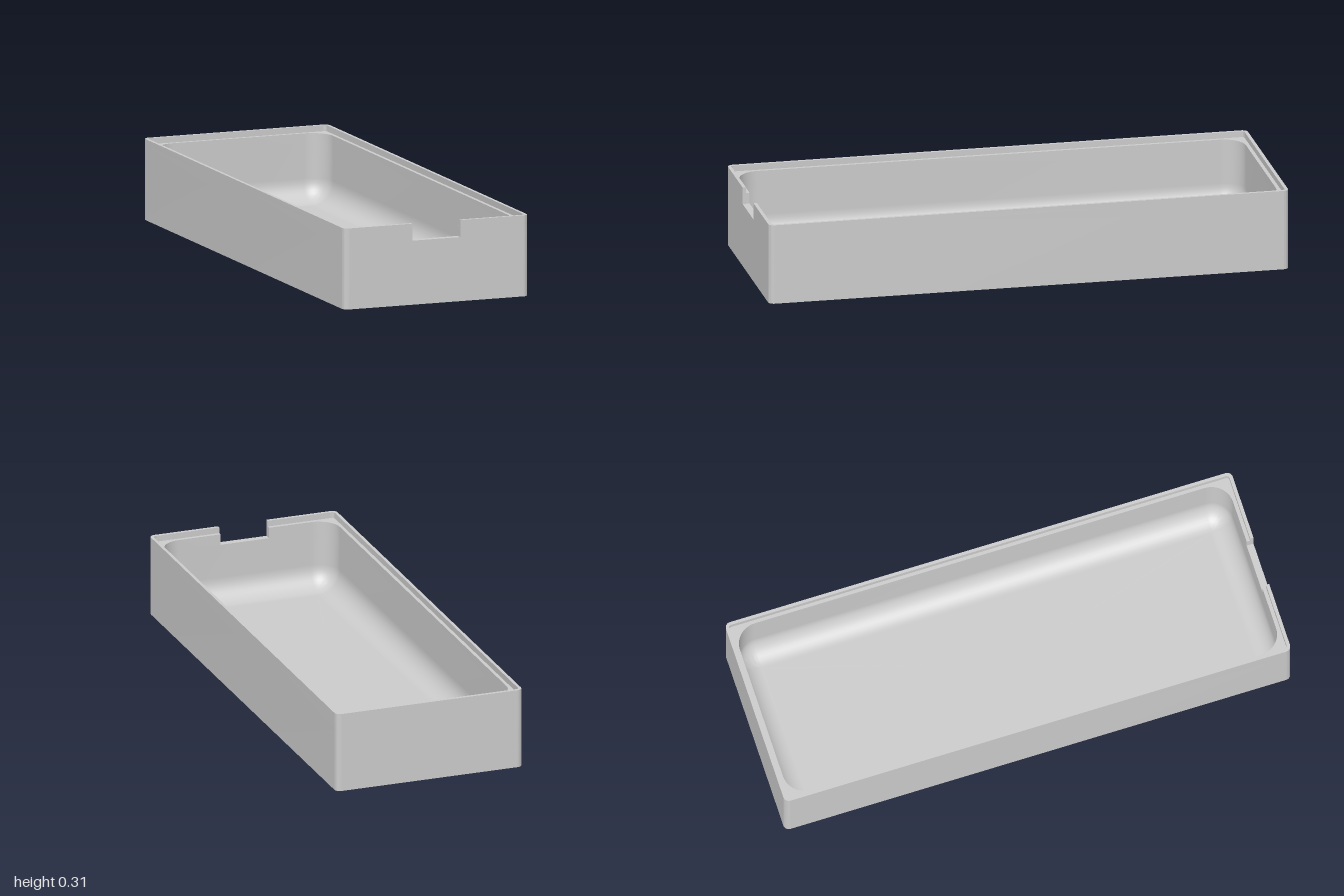
import * as THREE from 'three';
import { toCreasedNormals } from 'three/addons/utils/BufferGeometryUtils.js';

const TOP = 0.31, LEDGE = 0.287, NOTCH_Y = 0.245, NOTCH_X = 0.097, FLOOR = 0.025;
const FILLET = 0.085, STEPS = 10, GUARD = 0.004, CREASE = 0.5;
// Plan outlines: half width, half depth, corner radius
const OUTER = [0.375, 1, 0.022];
const RIM = [0.363, 0.987, 0.012];
const CAVITY = [0.35, 0.973, FILLET];

// Rounded rectangle as [x, z] points, from the front centre towards +x.
// Guard points beside each arc keep the straight sides flat-shaded.
function outline([hw, hd, r], g = GUARD) {
  const pts = [];
  for (let k = 0; k < 4; k++) {
    const cx = (k < 2 ? 1 : -1) * (hw - r), cz = (k === 0 || k === 3 ? 1 : -1) * (hd - r);
    for (let i = -1; i <= STEPS + 1; i++) {
      const a = (k + Math.min(Math.max(i, 0), STEPS) / STEPS) * Math.PI / 2;
      const s = i < 0 ? -g : i > STEPS ? g : 0;
      pts.push([cx + r * Math.sin(a) + s * Math.cos(a), cz + r * Math.cos(a) - s * Math.sin(a)]);
    }
  }
  return pts;
}

// Skin through a list of [outline points, y] rings
function loft(rings) {
  const n = rings[0][0].length, pos = [], index = [];
  rings.forEach(([pts, y], j) => pts.forEach(([x, z], i) => {
    pos.push(x, y, z);
    if (j === rings.length - 1) return;
    const a = j * n + i, b = j * n + (i + 1) % n;
    index.push(a, b, b + n, a, b + n, a + n);
  }));
  const geo = new THREE.BufferGeometry();
  geo.setAttribute('position', new THREE.Float32BufferAttribute(pos, 3));
  geo.setIndex(index);
  return toCreasedNormals(geo, CREASE);
}

// Wall band between two outlines, open at the front for the notch
function notchedWall(outer, inner, y0, y1) {
  const loop = [
    [NOTCH_X, outer[1]], ...outline(outer), [-NOTCH_X, outer[1]],
    [-NOTCH_X, inner[1]], ...outline(inner).reverse(), [NOTCH_X, inner[1]],
  ];
  const shape = new THREE.Shape(loop.map(([x, z]) => new THREE.Vector2(x, -z)));
  const geo = new THREE.ExtrudeGeometry(shape, { depth: y1 - y0, bevelEnabled: false });
  geo.rotateX(-Math.PI / 2).translate(0, y0, 0);
  return toCreasedNormals(geo, CREASE);
}

export function createModel() {
  const group = new THREE.Group();
  group.name = 'tray';
  const grey = new THREE.MeshStandardMaterial({ color: 0xcccccc });
  grey.name = 'grey';
  const add = (name, geo) => {
    const mesh = new THREE.Mesh(geo, grey);
    mesh.name = name;
    group.add(mesh);
  };

  // Lower tray: base, outer sides, notch sill, cavity with rounded floor edge
  const centre = outline([0, 0, 0], 0);
  const rings = [
    [centre, 0], [outline(OUTER), 0], [outline(OUTER), NOTCH_Y],
    [outline(CAVITY), NOTCH_Y], [outline(CAVITY), FLOOR + FILLET + GUARD],
  ];
  for (let i = 0; i <= STEPS; i++) {
    const t = i / STEPS * Math.PI / 2;
    const r = i === STEPS ? 0 : FILLET * Math.cos(t), inset = FILLET - r;
    rings.push([outline([CAVITY[0] - inset, CAVITY[1] - inset, r]), FLOOR + FILLET * (1 - Math.sin(t))]);
  }
  const flat = FILLET + GUARD;
  rings.push([outline([CAVITY[0] - flat, CAVITY[1] - flat, 0]), FLOOR], [centre, FLOOR]);
  add('lowerTray', loft(rings));

  // Upper wall up to the lid ledge, then the thin rim around it
  add('upperWall', notchedWall(OUTER, CAVITY, NOTCH_Y, LEDGE));
  add('rim', notchedWall(OUTER, RIM, LEDGE, TOP));
  return group;
}
